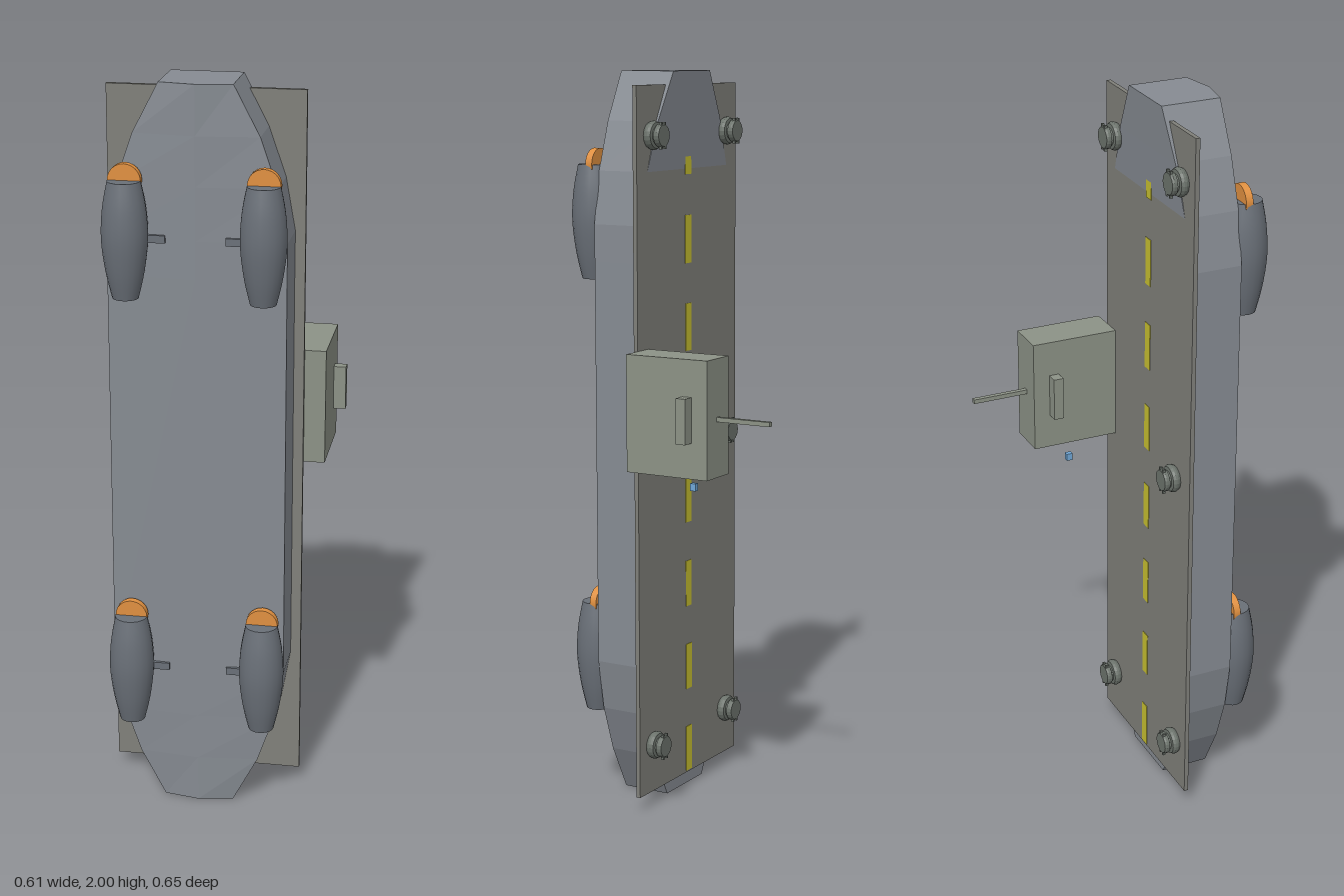
import * as THREE from 'three';

const mat = (color, extra = {}) => new THREE.MeshStandardMaterial({ color, ...extra });
const HULL = mat(0x868b92, { flatShading: true });
const DECK = mat(0x80807a);
const TOWER = mat(0x8c9286);
const ENGINE = mat(0x6a7078);
const GLOW = mat(0xe09040);
const GUN = mat(0x6c736c);
const YELLOW = mat(0xc8c030);
const BLUE = mat(0x70a8d8);
const CX = -0.045; // centre line of the ship

function add(parent, name, geometry, material, x = 0, y = 0, z = 0) {
  const mesh = new THREE.Mesh(geometry, material);
  mesh.name = name;
  mesh.position.set(x, y, z);
  parent.add(mesh);
  return mesh;
}

// Box given by its limits on each axis
function box(parent, name, material, [x0, x1], [y0, y1], [z0, z1]) {
  return add(parent, name, new THREE.BoxGeometry(x1 - x0, y1 - y0, z1 - z0), material,
    (x0 + x1) / 2, (y0 + y1) / 2, (z0 + z1) / 2);
}

// Hull: five-sided cross-sections lofted along y, deck rising at the bow
function hullGeometry() {
  const sections = [ // y, half width, deck z
    [0, 0.095, 0.09], [0.13, 0.163, 0.09], [0.26, 0.208, 0.09], [0.4, 0.233, 0.09],
    [1.5, 0.233, 0.09], [1.6, 0.233, 0.083], [1.74, 0.208, 0.076],
    [1.87, 0.163, 0.07], [2, 0.095, 0.063],
  ];
  const pos = [], index = [];
  for (const [y, w, z] of sections) {
    pos.push(-w, y, z, -w, y, 0.226, 0, y, 0.243, w, y, 0.226, w, y, z);
  }
  for (let i = 0; i < sections.length - 1; i++) {
    for (let j = 0; j < 5; j++) {
      const a = i * 5 + j, b = i * 5 + (j + 1) % 5;
      index.push(a, b, b + 5, a, b + 5, a + 5);
    }
  }
  const top = (sections.length - 1) * 5;
  for (let j = 1; j < 4; j++) {
    index.push(0, j + 1, j, top, top + j, top + j + 1);
  }
  const g = new THREE.BufferGeometry();
  g.setAttribute('position', new THREE.Float32BufferAttribute(pos, 3));
  g.setIndex(index);
  const flat = g.toNonIndexed();
  flat.computeVertexNormals();
  return flat;
}

// Lift engine: tapered pod, intake disc and a strut to the hull
function engine(x, y, inward) {
  const g = new THREE.Group();
  g.name = 'liftEngine';
  const curve = new THREE.SplineCurve([
    [0.034, 0], [0.05, 0.07], [0.06, 0.155], [0.056, 0.235], [0.043, 0.305],
  ].map(p => new THREE.Vector2(...p)));
  add(g, 'enginePod', new THREE.LatheGeometry(curve.getPoints(16), 20), ENGINE);
  for (const [py, r, dir] of [[0, 0.034, 1], [0.305, 0.043, -1]]) {
    add(g, 'podEnd', new THREE.CircleGeometry(r, 20), ENGINE, 0, py, 0).rotation.x = dir * Math.PI / 2;
  }
  const disc = new THREE.CylinderGeometry(0.043, 0.043, 0.02, 24).rotateX(Math.PI / 2);
  add(g, 'intakeDisc', disc, GLOW, 0, 0.305, -0.01);
  add(g, 'engineStrut', new THREE.BoxGeometry(0.1, 0.02, 0.02), ENGINE, inward * 0.05, 0.152, -0.027);
  g.position.set(x, y, 0.261);
  return g;
}

// Deck gun: stepped round mount with two barrels
function turret(x, y) {
  const g = new THREE.Group();
  g.name = 'deckTurret';
  const profile = [
    [0, 0], [0.034, 0], [0.038, 0.008], [0.038, 0.014], [0.034, 0.021], [0.024, 0.022],
    [0.024, 0.026], [0.031, 0.029], [0.031, 0.038], [0.028, 0.043], [0, 0.043],
  ].map(p => new THREE.Vector2(...p));
  const mount = new THREE.LatheGeometry(profile, 20).rotateX(-Math.PI / 2);
  add(g, 'turretMount', mount, mat(GUN.color, { flatShading: true }));
  for (const s of [-1, 1]) {
    add(g, 'gunBarrel', new THREE.BoxGeometry(0.006, 0.07, 0.008), GUN, s * 0.009, 0, -0.038);
  }
  g.position.set(x, y, 0.076);
  return g;
}

export function createModel() {
  const model = new THREE.Group();
  model.name = 'flyingCarrier';

  add(model, 'hull', hullGeometry(), HULL, CX);
  box(model, 'flightDeck', DECK, [-0.305, 0.215], [0.04, 1.965], [0.076, 0.088]);

  // Runway centre line
  for (let k = 0; k < 8; k++) {
    const y = 0.045 + k * 0.24;
    box(model, 'runwayDash', YELLOW, [CX - 0.015, CX + 0.015], [y, y + 0.13], [0.0745, 0.08]);
  }

  // Four lift engines under the hull
  for (const y of [0.25, 1.45]) {
    model.add(engine(CX - 0.178, y, 1), engine(CX + 0.178, y, -1));
  }

  // Deck turrets
  for (const [x, y] of [[-0.24, 0.175], [0.148, 0.175], [-0.24, 1.835], [0.148, 1.835], [-0.219, 1.0]]) {
    model.add(turret(x, y));
  }

  // Control tower with bridge wings, mast and beacon
  const tower = new THREE.Group();
  tower.name = 'controlTower';
  box(tower, 'towerBlock', TOWER, [0.16, 0.272], [0.96, 1.273], [-0.168, 0.076]);
  box(tower, 'bridgeWings', TOWER, [0.128, 0.305], [1.055, 1.175], [-0.122, -0.094]);
  box(tower, 'mast', TOWER, [0.21, 0.223], [1.108, 1.12], [-0.324, -0.168]);
  box(tower, 'beacon', BLUE, [0.157, 0.171], [0.905, 0.925], [-0.074, -0.057]);
  model.add(tower);

  return model;
}
